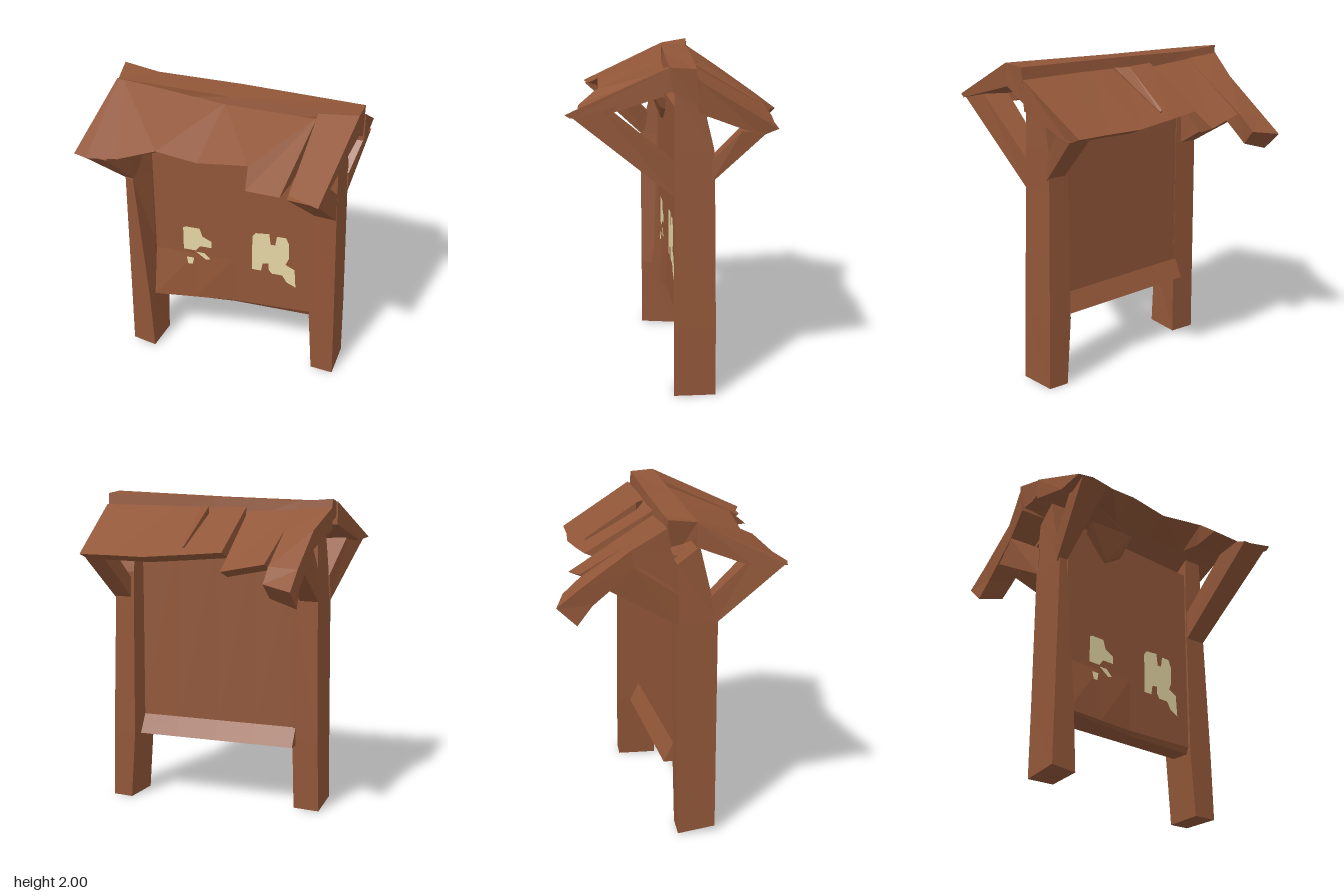
import * as THREE from 'three';

const wood = new THREE.MeshStandardMaterial({ color: 0x915638, flatShading: true });
wood.name = 'brown wood';
const paper = new THREE.MeshStandardMaterial({ color: 0xe6d6a4, side: THREE.DoubleSide });
paper.name = 'faded paper';

// Solid skinned over matching rings of [x, y, z] points, closed at both ends
function loft(name, rings) {
  const n = rings[0].length;
  const tris = [];
  const tri = (a, b, c) => tris.push([a, b, c]);
  for (let i = 0; i < rings.length - 1; i++) {
    for (let j = 0; j < n; j++) {
      const k = (j + 1) % n;
      tri(rings[i][j], rings[i + 1][j], rings[i + 1][k]);
      tri(rings[i][j], rings[i + 1][k], rings[i][k]);
    }
  }
  const first = rings[0], last = rings[rings.length - 1];
  for (let j = 1; j < n - 1; j++) {
    tri(first[0], first[j], first[j + 1]);
    tri(last[0], last[j + 1], last[j]);
  }
  // Turn the faces outward if the enclosed volume is negative
  const v = (p) => new THREE.Vector3(...p);
  const volume = tris.reduce((s, [a, b, c]) => s + v(a).dot(v(b).cross(v(c))), 0);
  const points = tris.flatMap(([a, b, c]) => (volume < 0 ? [a, c, b] : [a, b, c]));
  const g = new THREE.BufferGeometry();
  g.setAttribute('position', new THREE.Float32BufferAttribute(points.flat(), 3));
  g.computeVertexNormals();
  const mesh = new THREE.Mesh(g, wood);
  mesh.name = name;
  return mesh;
}

// Four-sided ring at height y; frontX0 and frontX1 shift the front corners
const level = (y, x0, x1, z0, z1, frontX0 = x0, frontX1 = x1) =>
  [[x0, y, z0], [x1, y, z0], [frontX1, y, z1], [frontX0, y, z1]];

// Beam from a side profile of [z, y, x0, x1] points
const beam = (name, profile) => loft(name, [
  profile.map(([z, y, x0]) => [x0, y, z]),
  profile.map(([z, y, , x1]) => [x1, y, z]),
]);

// Roof slope: stations of [ridge x, y, z, eave x, y, z, eave drop], thick at the ridge
function slope(name, stations, ridgeDrop, eaveDrop, eaveInset) {
  return loft(name, stations.map(([rx, ry, rz, ex, ey, ez, drop = eaveDrop]) => [
    [rx, ry, rz], [ex, ey, ez],
    [ex, ey - drop, ez - Math.sign(ez) * eaveInset], [rx, ry - ridgeDrop, rz],
  ]));
}

// Front surface of the board: skewed, and kicked forward at the lower right corner
const boardZ = (x, y) => {
  const t = (x + 0.52) / 1.05;
  const kick = 0.055 * Math.max(0, (0.77 - y) / 0.35) * Math.max(0, 1 - 2 * t);
  return 0.15 - 0.12 * t + kick;
};

function scrap(name, outline) {
  const shape = new THREE.Shape(outline.map(([x, y]) => new THREE.Vector2(x, y)));
  const g = new THREE.ShapeGeometry(shape);
  const p = g.attributes.position;
  for (let i = 0; i < p.count; i++) p.setZ(i, boardZ(p.getX(i), p.getY(i)) + 0.006);
  g.computeVertexNormals();
  const mesh = new THREE.Mesh(g, paper);
  mesh.name = name;
  return mesh;
}

export function createModel() {
  const model = new THREE.Group();
  model.name = 'noticeBoard';

  // Posts, with slanted tops
  model.add(
    loft('rightPost', [
      [[-0.68, 0.005, 0.04], [-0.51, 0.005, 0.04], [-0.51, 0.015, 0.27], [-0.665, 0.035, 0.27]],
      level(0.45, -0.67, -0.50, 0.03, 0.27, -0.66, -0.53),
      level(1.35, -0.66, -0.50, 0.02, 0.27, -0.65, -0.60),
      [[-0.65, 1.70, 0.03], [-0.51, 1.70, 0.03], [-0.54, 1.80, 0.16], [-0.65, 1.80, 0.16]],
    ]),
    loft('leftPost', [
      level(0.0, 0.55, 0.682, -0.20, 0.05, 0.55, 0.70),
      level(0.43, 0.52, 0.675, -0.20, 0.05, 0.52, 0.69),
      level(1.25, 0.52, 0.655, -0.19, 0.045, 0.52, 0.665),
      level(1.50, 0.52, 0.65, -0.185, 0.045, 0.52, 0.66),
      [[0.53, 1.73, -0.13], [0.65, 1.73, -0.13], [0.65, 1.84, 0.045], [0.53, 1.84, 0.045]],
    ]),
  );

  // Board with bevelled front edge and a sloped ledge along its lower back edge
  const rings = [-0.52, -0.25, 0.005, 0.27, 0.53].map((x) => {
    const back = 0.03 - 0.09 * (x + 0.5);
    const low = 0.437 + 0.034 * x;
    return [
      [x, 0.415, boardZ(x, low) - 0.02], [x, low, boardZ(x, low)], [x, 0.77, boardZ(x, 0.77)],
      [x, 1.72, boardZ(x, 1.72)], [x, 1.72, back], [x, 0.54, back], [x, 0.42, back - 0.06],
    ];
  });
  model.add(loft('board', rings));

  // Paper scraps
  model.add(
    scrap('largePaper', [
      [0.13, 0.73], [0.13, 0.99], [0.15, 1.02], [0.24, 1.03], [0.25, 0.95], [0.28, 0.95], [0.29, 1.02],
      [0.35, 1.02], [0.37, 0.97], [0.37, 0.86], [0.35, 0.81], [0.41, 0.78], [0.42, 0.64], [0.36, 0.67],
      [0.33, 0.72], [0.26, 0.72], [0.24, 0.75], [0.24, 0.80], [0.20, 0.79], [0.19, 0.73],
    ]),
    scrap('smallPaper', [
      [-0.33, 0.80], [-0.33, 0.97], [-0.31, 0.98], [-0.22, 0.98], [-0.20, 0.92], [-0.14, 0.89],
      [-0.14, 0.84], [-0.22, 0.84], [-0.25, 0.80],
    ]),
    scrap('paperShred', [[-0.25, 0.79], [-0.19, 0.79], [-0.15, 0.75], [-0.18, 0.74], [-0.22, 0.77]]),
    scrap('paperCorner', [[-0.31, 0.74], [-0.26, 0.74], [-0.27, 0.69], [-0.30, 0.69]]),
  );

  // Ridge beam, filling the peak between both slopes
  model.add(loft('ridge', [
    [[-0.73, 1.96, 0.13], [-0.77, 1.985, -0.04], [-0.75, 1.82, -0.06], [-0.73, 1.84, 0.05], [-0.73, 1.87, 0.13]],
    [[-0.55, 1.965, 0.125], [-0.54, 1.965, -0.035], [-0.54, 1.77, -0.06], [-0.55, 1.83, 0.05], [-0.55, 1.87, 0.13]],
    [[-0.02, 1.975, 0.105], [0, 1.98, -0.06], [0, 1.77, -0.08], [-0.02, 1.84, 0.05], [-0.02, 1.85, 0.13]],
    [[0.77, 2.0, 0.07], [0.76, 1.99, -0.08], [0.75, 1.77, -0.10], [0.77, 1.86, 0.05], [0.77, 1.87, 0.08]],
  ]));

  // Front slope in two pieces with a split between them
  model.add(
    slope('frontRoof', [
      [-0.74, 1.96, 0.125, -0.77, 1.71, 0.64, 0.01],
      [-0.72, 1.96, 0.125, -0.68, 1.71, 0.66, 0.01],
      [-0.70, 1.96, 0.125, -0.50, 1.72, 0.615, 0.02],
      [-0.04, 1.93, 0.125, -0.29, 1.78, 0.54, 0.09],
      [-0.03, 1.93, 0.125, -0.04, 1.75, 0.52, 0.07],
      [-0.02, 1.93, 0.125, 0.27, 1.80, 0.51, 0.11],
      [0.515, 1.94, 0.10, 0.272, 1.80, 0.512, 0.11],
      [0.52, 1.94, 0.10, 0.30, 1.71, 0.62, 0.02],
      [0.525, 1.94, 0.10, 0.50, 1.71, 0.61, 0.02],
    ], 0.14, 0.02, 0.18),
    slope('frontRoofPlank', [
      [0.53, 1.97, 0.085, 0.55, 1.73, 0.60],
      [0.77, 2.0, 0.07, 0.74, 1.73, 0.66],
    ], 0.14, 0.02, 0.03),
  );

  // Back slope, its end planks slipped and broken
  model.add(
    slope('backRoof', [
      [-0.21, 1.925, -0.05, -0.24, 1.68, -0.47],
      [0, 1.92, -0.06, 0, 1.66, -0.51],
      [0.25, 1.92, -0.07, 0.25, 1.64, -0.545],
      [0.50, 1.92, -0.085, 0.48, 1.64, -0.54],
      [0.76, 1.92, -0.10, 0.69, 1.64, -0.55],
    ], 0.18, 0.04, 0.10),
    slope('backRoofPlank', [
      [-0.54, 1.92, -0.035, -0.535, 1.63, -0.52],
      [-0.22, 1.90, -0.05, -0.28, 1.58, -0.57],
    ], 0.16, 0.04, 0.10),
    loft('brokenPlank', [
      [[-0.77, 1.94, -0.04], [-0.54, 1.92, -0.04], [-0.54, 1.80, -0.02], [-0.76, 1.80, -0.02]],
      [[-0.725, 1.81, -0.24], [-0.54, 1.80, -0.24], [-0.54, 1.70, -0.22], [-0.72, 1.70, -0.22]],
      [[-0.74, 1.61, -0.52], [-0.56, 1.62, -0.52], [-0.56, 1.52, -0.46], [-0.73, 1.50, -0.46]],
      [[-0.755, 1.50, -0.665], [-0.57, 1.53, -0.62], [-0.58, 1.44, -0.54], [-0.75, 1.39, -0.55]],
    ]),
    loft('liftedSplinter', [
      [[0.01, 1.925, -0.13], [0.09, 1.925, -0.08], [0.09, 1.87, -0.08], [0.01, 1.85, -0.13]],
      [[0.015, 1.71, -0.45], [0.03, 1.70, -0.45], [0.03, 1.67, -0.44], [0.015, 1.67, -0.44]],
    ]),
  );

  // Braces from the posts to the eaves
  model.add(
    beam('leftFrontBrace', [
      [0.03, 1.22, 0.525, 0.66], [0.03, 1.41, 0.525, 0.66], [0.46, 1.76, 0.53, 0.70], [0.63, 1.72, 0.55, 0.73],
    ]),
    beam('rightFrontBrace', [
      [0.25, 1.34, -0.66, -0.60], [0.22, 1.50, -0.66, -0.55], [0.46, 1.75, -0.70, -0.55], [0.64, 1.71, -0.74, -0.56],
    ]),
    beam('leftBackBrace', [
      [-0.17, 1.32, 0.54, 0.66], [-0.17, 1.45, 0.54, 0.66], [-0.34, 1.63, 0.56, 0.70], [-0.47, 1.61, 0.56, 0.70],
    ]),
    beam('rightBackBrace', [
      [0.04, 1.34, -0.66, -0.54], [0.04, 1.52, -0.66, -0.54], [-0.24, 1.72, -0.72, -0.57], [-0.40, 1.60, -0.72, -0.57],
    ]),
  );

  // Splinter hanging over the top of the board
  model.add(loft('hangingSplinter', [
    [[-0.37, 1.69, 0.14], [-0.05, 1.69, 0.10], [-0.05, 1.75, 0.20], [-0.37, 1.75, 0.20]],
    [[-0.21, 1.53, 0.11], [-0.08, 1.61, 0.09], [-0.08, 1.63, 0.13], [-0.21, 1.54, 0.13]],
  ]));

  return model;
}
